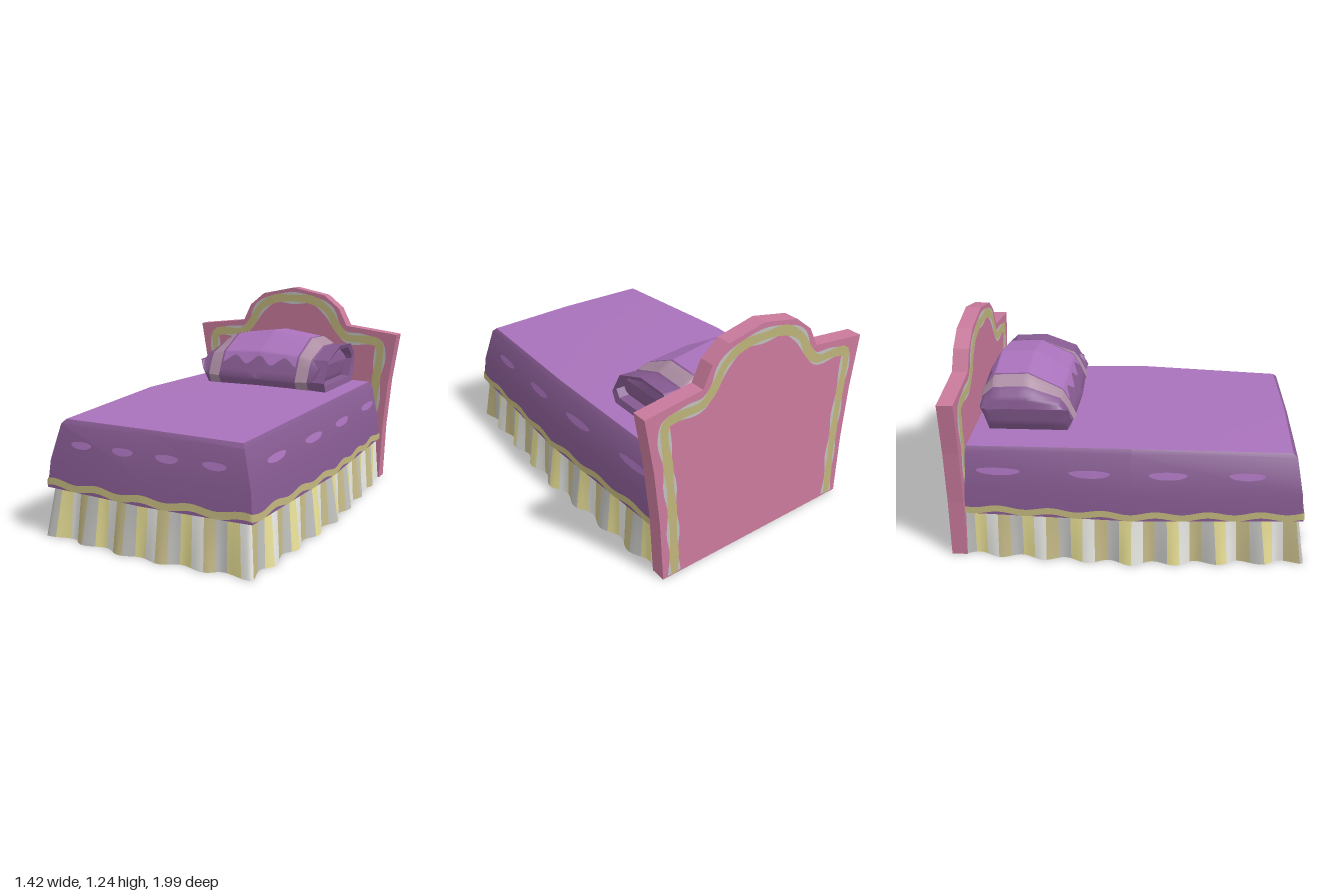
import * as THREE from 'three';
import { mergeGeometries, toCreasedNormals } from 'three/addons/utils/BufferGeometryUtils.js';

const mat = (name, color) => new THREE.MeshStandardMaterial({ name, color, side: THREE.DoubleSide });
const { lerp, clamp } = THREE.MathUtils;

// Surface grid: fn(u, v) -> [x, y, z] with u, v running 0..1
function grid(nu, nv, fn) {
  const pos = [], idx = [];
  for (let i = 0; i <= nu; i++) for (let j = 0; j <= nv; j++) pos.push(...fn(i / nu, j / nv));
  for (let i = 0; i < nu; i++) for (let j = 0; j < nv; j++) {
    const a = i * (nv + 1) + j, b = a + nv + 1;
    idx.push(a, b, a + 1, b, b + 1, a + 1);
  }
  const g = new THREE.BufferGeometry();
  g.setAttribute('position', new THREE.Float32BufferAttribute(pos, 3));
  g.setIndex(idx);
  g.computeVertexNormals();
  return g;
}

// Piecewise linear lookup in [[key, ...values], ...]
function table(rows, k) {
  let i = 0;
  while (i < rows.length - 2 && k > rows[i + 1][0]) i++;
  const a = rows[i], b = rows[i + 1], f = clamp((k - a[0]) / (b[0] - a[0]), 0, 1);
  return a.slice(1).map((v, n) => lerp(v, b[n + 1], f));
}

// Half outlines of the cover: front middle, front corner, side middle, back end
const LEVELS = [
  { y: 0.27, pts: [[0, 0.27, 0.955], [0.612, 0.27, 0.925], [0.657, 0.27, 0], [0.615, 0.27, -0.905]] },
  { y: 0.42, pts: [[0, 0.42, 0.93], [0.597, 0.42, 0.91], [0.642, 0.42, 0], [0.60, 0.42, -0.9]] },
  { y: 0.62, pts: [[0, 0.62, 0.88], [0.545, 0.615, 0.875], [0.585, 0.635, 0], [0.56, 0.62, -0.89]] },
  { y: 0.645, pts: [[0, 0.642, 0.862], [0.527, 0.637, 0.852], [0.565, 0.66, 0], [0.54, 0.645, -0.885]] },
];
const KNOTS = [[0, 0], [0.61, 1], [1.53, 2], [2.42, 3]];
const tOf = d => Math.sign(d) * table(KNOTS, Math.abs(d))[0];

// Point on an outline; t runs -3..3 round the bed, 0 is the front middle
function along(pts, t, off = 0) {
  const [x, y, z] = table(pts.map((p, i) => [i, ...p]), Math.abs(t));
  return [Math.sign(t) * x * (1 + off / 0.6), y, z + off * (Math.abs(t) <= 1 ? 1 : clamp(z, 0, 1))];
}
const coverPoint = (t, y, off) => table(LEVELS.map(l => [l.y, ...along(l.pts, t, off)]), y);

// Pillow cross-section as [z, y], centred at (-0.585, 0.80)
const SECTION = [[-0.315, 0.71], [-0.39, 0.87], [-0.58, 0.98], [-0.77, 0.97],
  [-0.84, 0.87], [-0.855, 0.80], [-0.81, 0.65], [-0.345, 0.65], [-0.315, 0.71]];
// Distance from the middle, then top, bottom and depth scales
const TAPER = [[0, 1, 1, 1], [0.27, 0.8, 1, 0.96], [0.36, 0.5, 0.95, 0.93], [0.39, 0.33, 0.6, 0.91], [0.405, 0, 0, 0.88]];
function sectionPoint(x, v, top, bottom, depth) {
  const [z, y] = table(SECTION.map((p, i) => [i, ...p]), v);
  return [x, 0.80 + (y - 0.80) * (y > 0.80 ? top : bottom), -0.585 + (z + 0.585) * depth];
}
const pillowPoint = (x, v, grow = 1) =>
  sectionPoint(x, v, ...table(TAPER, Math.abs(x)).map(s => s * grow));

export function createModel() {
  const lilac = mat('lilac', 0xa972bb), plum = mat('plum', 0x855a90), trim = mat('trim yellow', 0xbdb27a);
  const yellow = mat('skirt yellow', 0xe8df96), white = mat('skirt white', 0xe9e9e4);
  const khaki = mat('skirt khaki', 0xc6bb88), gray = mat('soft gray', 0xbfbfbc);
  const pink = mat('headboard pink', 0xc8799b), mauve = mat('pillow mauve', 0xac8da3);

  const model = new THREE.Group();
  model.name = 'bed';
  const add = (name, geo, material, parent = model) => {
    const m = new THREE.Mesh(geo, material);
    m.name = name;
    parent.add(m);
  };

  // Cover: hanging sides, gently crowned top
  const hang = grid(6, LEVELS.length - 1, (u, v) => along(LEVELS[Math.round(v * 3)].pts, u * 6 - 3));
  add('coverSides', toCreasedNormals(hang, 0.6), plum);
  const RIM = [[0.54, 0.645, 0.65, -0.885, -0.885], [0.565, 0.66, 0.675, 0, 0], [0.527, 0.637, 0.642, 0.852, 0.862]];
  add('coverTop', grid(2, 2, (u, v) => {
    const [w, yEdge, yMid, zEdge, zMid] = RIM[Math.round(u * 2)];
    const s = v * 2 - 1, e = Math.abs(s);
    return [s * w, lerp(yMid, yEdge, e), lerp(zMid, zEdge, e)];
  }), lilac);

  // Wavy border near the hem
  add('coverTrim', grid(192, 1, (u, v) => {
    const t = u * 6 - 3, d = table(KNOTS.map(k => [k[1], k[0]]), Math.abs(t))[0];
    const wave = Math.cos(d * Math.PI * 2 / 0.28);
    return coverPoint(t, v ? 0.317 + 0.009 * wave : 0.28 + 0.009 * wave, 0.004);
  }), trim);

  // Oval patches on the hanging sides, showing inside as well
  const spots = [];
  for (const side of [-1, 1]) {
    for (const [d, half] of [[0.14, 0.07], [0.42, 0.07], [0.90, 0.10], [1.33, 0.105], [1.75, 0.11], [2.24, 0.12]]) {
      for (const off of [-0.005, 0.005]) {
        spots.push(grid(20, 1, (u, v) => {
          const a = u * Math.PI * 2, s = Math.sin(a);
          return coverPoint(tOf(side * (d + v * half * Math.cos(a))), 0.525 + v * s * (s > 0 ? 0.014 : 0.026), off);
        }));
      }
    }
  }
  add('coverSpots', mergeGeometries(spots), lilac);

  // Ruffled skirt: striped folds that flare to the floor
  const skirtTop = [[0, 0.29, 0.93], [0.58, 0.29, 0.885], [0.63, 0.29, 0], [0.585, 0.29, -0.91]];
  const skirtFoot = [[0, 0, 0.955], [0.59, 0, 0.905], [0.645, 0, 0], [0.59, 0, -0.915]];
  const WIDTH = 0.065, FOLD = 0.2354, stripes = [[], [], [], []];
  for (let k = -37; k <= 37; k++) {
    stripes[((k % 4) + 4) % 4].push(grid(4, 3, (u, v) => {
      const d = clamp((k - 0.5 + u) * WIDTH, -2.42, 2.42), t = tOf(d);
      const fold = 0.019 * (1 - Math.cos(d * Math.PI * 2 / FOLD));
      const a = along(skirtTop, t, fold * 0.25), b = along(skirtFoot, t, fold);
      return a.map((n, i) => lerp(n, b[i], v));
    }));
  }
  const skirt = new THREE.Group();
  skirt.name = 'skirt';
  model.add(skirt);
  [['yellowFolds', yellow], ['whiteFolds', white], ['khakiFolds', khaki], ['grayFolds', gray]]
    .forEach(([name, m], i) => add(name, mergeGeometries(stripes[i]), m, skirt));

  // Headboard: arched slab leaning slightly forward
  const DEPTH = 0.085, lean = y => -1 + 0.033 * y;
  const half = [[0.62, 0], [0.635, 0.35], [0.665, 0.66], [0.712, 0.96], [0.375, 1.0], [0.32, 1.11], [0.22, 1.19]];
  const outline = [...half, [0, 1.235], ...half.map(([x, y]) => [-x, y]).reverse()];
  const slab = new THREE.ExtrudeGeometry(
    new THREE.Shape(outline.map(p => new THREE.Vector2(...p))), { depth: DEPTH, bevelEnabled: false });
  const sp = slab.attributes.position;
  for (let i = 0; i < sp.count; i++) sp.setZ(i, sp.getZ(i) + lean(sp.getY(i)));
  slab.computeVertexNormals();
  add('headboard', slab, pink);

  // Painted border on both faces of the headboard
  const bandHalf = [[0.55, 0.01], [0.56, 0.35], [0.585, 0.66], [0.605, 0.84], [0.595, 0.9], [0.5, 0.918],
    [0.38, 0.925], [0.31, 0.99], [0.25, 1.09], [0.14, 1.155]];
  const bandPath = new THREE.CatmullRomCurve3([...bandHalf, [0, 1.165], ...bandHalf.map(([x, y]) => [-x, y]).reverse()]
    .map(([x, y]) => new THREE.Vector3(x, y, 0)), false, 'centripetal');
  const band = (width, wobble, z) => grid(140, 1, (u, v) => {
    const p = bandPath.getPointAt(u), n = bandPath.getTangentAt(u);
    const w = (v - 0.5) * (width + wobble * Math.cos((u - 0.5) * 75));
    return [p.x - n.y * w, p.y + n.x * w, lean(p.y) + z];
  });
  for (const [name, face, dir] of [['front', DEPTH, 1], ['back', 0, -1]]) {
    add(name + 'BandEdge', band(0.066, 0.014, face + dir * 0.002), gray);
    add(name + 'Band', band(0.05, -0.008, face + dir * 0.005), trim);
  }

  // Pillow: lofted body, open collar on the left end
  const pillow = new THREE.Group();
  pillow.name = 'pillow';
  model.add(pillow);
  const stations = [-0.405, -0.39, -0.36, -0.27, 0, 0.27, 0.36, 0.39, 0.405].map((x, i) => [i, x]);
  add('pillowBody', toCreasedNormals(grid(32, 32, (u, v) => pillowPoint(table(stations, u * 8)[0], v * 8)), 0.9),
    plum, pillow);
  add('pillowPanel', grid(48, 64, (u, v) => {
    const x = lerp(-0.25, 0.25, u), wave = 0.16 * Math.cos(x * Math.PI * 2 / 0.17);
    return pillowPoint(x, lerp(0.68 + wave, 3.6 - wave, v), 1.02);
  }), lilac, pillow);
  for (const side of [-1, 1]) {
    add('pillowStripe', grid(4, 64, (u, v) => pillowPoint(side * lerp(0.262, 0.338, u), v * 8, 1.02)), mauve, pillow);
  }
  const COLLAR = [[0.35, 0.56, 0.95, 0.93], [0.45, 0.62, 0.95, 0.96], [0.44, 0.48, 0.72, 0.87], [0.375, 0.4, 0.7, 0.85]];
  add('pillowCollar', toCreasedNormals(grid(3, 8, (u, v) => {
    const [x, ...scales] = COLLAR[Math.round(u * 3)];
    return sectionPoint(x, v * 8, ...scales);
  }), 0.6), plum, pillow);

  return model;
}
